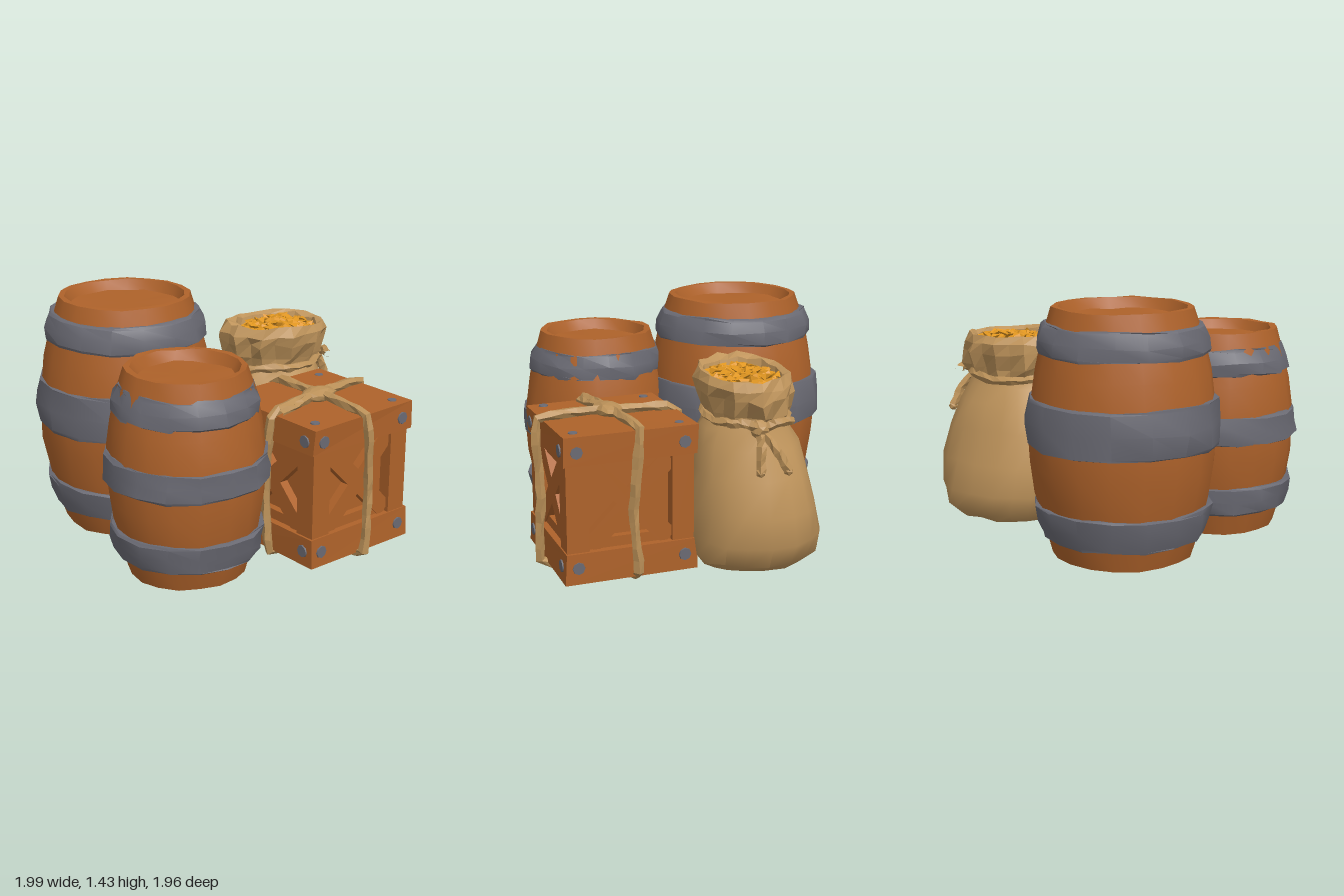
import * as THREE from 'three';
import { toCreasedNormals, mergeGeometries } from 'three/addons/utils/BufferGeometryUtils.js';

const mat = (name, color) => Object.assign(new THREE.MeshStandardMaterial({ color }), { name });
const V = (x, y, z) => new THREE.Vector3(x, y, z);

// repeatable value in -1..1 from a position
const hash = (x, y, z, k) => {
  const r = (v) => Math.round(v * 500) / 500;
  const s = Math.sin(r(x) * 127.1 + r(y) * 311.7 + r(z) * 74.7 + k * 19.19) * 43758.5453;
  return (s - Math.floor(s)) * 2 - 1;
};

// small hand-cut irregularity; coincident corners move together
function jitter(geo, amount) {
  const p = geo.attributes.position;
  for (let i = 0; i < p.count; i++) {
    const [x, y, z] = [p.getX(i), p.getY(i), p.getZ(i)];
    p.setXYZ(i, x + amount * hash(x, y, z, 1), y + amount * hash(x, y, z, 2), z + amount * hash(x, y, z, 3));
  }
  return geo;
}
const flat = (geo) => toCreasedNormals(geo, 0.01);

function add(parent, name, geo, material, x = 0, y = 0, z = 0) {
  const mesh = new THREE.Mesh(geo, material);
  mesh.name = name;
  mesh.position.set(x, y, z);
  parent.add(mesh);
  return mesh;
}

// skin over rings [y, rx, rz, cx, cz, squareness, pleat]
function loft(rings, segs) {
  const pos = [], idx = [];
  rings.forEach(([y, rx, rz, cx, cz, sq = 1, pleat = 0]) => {
    for (let j = 0; j < segs; j++) {
      const a = (j / segs) * Math.PI * 2, c = Math.cos(a), s = Math.sin(a);
      const k = 1 + pleat * (j % 2 ? -1 : 1) * (0.6 + 0.4 * Math.sin(j * 2.3));
      pos.push(cx + rx * k * Math.sign(c) * Math.abs(c) ** sq, y, cz + rz * k * Math.sign(s) * Math.abs(s) ** sq);
    }
  });
  for (let i = 0; i < rings.length - 1; i++) for (let j = 0; j < segs; j++) {
    const a = i * segs + j, b = i * segs + (j + 1) % segs;
    idx.push(a, a + segs, b, b, a + segs, b + segs);
  }
  const geo = new THREE.BufferGeometry();
  geo.setAttribute('position', new THREE.Float32BufferAttribute(pos, 3));
  geo.setIndex(idx);
  return geo;
}

const lathe = (pts, segs) => new THREE.LatheGeometry(pts.map(([r, y]) => new THREE.Vector2(r, y)), segs);

function rope(points, radius, closed, steps) {
  const curve = new THREE.CatmullRomCurve3(points, closed, 'catmullrom', 0.15);
  return flat(jitter(new THREE.TubeGeometry(curve, steps, radius, 5, closed), 0.006));
}

// barrel: staves with sunken ends and three iron bands [y0, y1, radius at y0, middle, y1]
function barrel(name, h, rEnd, rMid, bands, m) {
  const g = new THREE.Group();
  g.name = name;
  const side = [];
  for (let i = 0; i <= 8; i++) {
    const t = i / 8;
    side.push([rEnd + (rMid - rEnd) * (1 - Math.abs(2 * t - 1) ** 1.9), h * t]);
  }
  const rIn = rEnd - 0.035, rLid = rEnd - 0.07;
  const body = lathe([[0, 0.05], [rLid, 0.05], [rIn, 0], ...side, [rIn, h], [rLid, h - 0.06], [0, h - 0.06]], 18);
  add(g, 'staves', toCreasedNormals(jitter(body, 0.006), 0.6), m.wood);
  // planks across the underside
  for (let i = -1; i <= 1; i++) {
    const w = rLid * 0.45, len = 2 * Math.sqrt(rLid * rLid - (Math.abs(i) * w + w / 2) ** 2);
    add(g, 'bottomPlank', new THREE.BoxGeometry(w * 0.92, 0.02, len * 0.97), m.wood, i * w, 0.042, 0);
  }
  bands.forEach(([y0, y1, a, b, c], i) => {
    const d = 0.06, e = 0.012;
    const geo = lathe([[a - d, y0], [a - 0.01, y0], [a, y0 + e], [b, (y0 + y1) / 2], [c, y1 - e], [c - 0.01, y1], [c - d, y1]], 16);
    add(g, 'ironBand', toCreasedNormals(jitter(geo, 0.009), 0.55), m.iron).rotation.y = i * 0.4;
  });
  return g;
}

function crate(m) {
  const g = new THREE.Group();
  g.name = 'crate';
  const H = 0.39;
  const box = (w, h, d) => flat(jitter(new THREE.BoxGeometry(w, h, d), 0.008));
  add(g, 'innerPanels', new THREE.BoxGeometry(0.6, 0.7, 0.6), m.wood, 0, 0.46, 0);
  add(g, 'topSlab', box(2 * H, 0.165, 2 * H), m.wood, 0, 0.8, 0);
  add(g, 'bottomSlab', box(2 * H, 0.17, 2 * H), m.wood, 0, 0.12, 0);
  for (const x of [-1, 1]) for (const z of [-1, 1])
    add(g, 'cornerPost', new THREE.BoxGeometry(0.13, 0.54, 0.13), m.wood, x * 0.31, 0.46, z * 0.31);
  const bolt = new THREE.CylinderGeometry(0.036, 0.038, 0.008, 8);
  const topBolt = new THREE.CylinderGeometry(0.026, 0.028, 0.008, 8);
  // the four sides repeat
  for (let k = 0; k < 4; k++) {
    const s = new THREE.Group();
    s.name = 'crateSide';
    s.rotation.y = k * Math.PI / 2;
    for (const t of [-1, 1]) {
      add(s, 'crossBrace', new THREE.BoxGeometry(0.11, 0.67, 0.06), m.wood, 0, 0.465, 0.325).rotation.z = t * Math.PI / 4;
      add(s, 'innerTrim', new THREE.BoxGeometry(0.5, 0.07, 0.05), m.wood, 0, 0.465 + t * 0.23, 0.32);
      for (const y of [0.125, 0.795])
        add(s, 'bolt', bolt, m.iron, t * 0.315, y, H + 0.004).rotation.x = Math.PI / 2;
    }
    add(s, 'topBolt', topBolt, m.iron, 0.31, 0.886, 0.31);
    g.add(s);
  }
  // ropes wrapped both ways, with a knot on top
  const R = 0.402, lo = 0.032, hi = 0.893;
  const wrap = (f) => rope([f(-R, lo, 0.02), f(-R, 0.45, -0.015), f(-R, hi, 0.03), f(0, hi + 0.022, 0),
    f(R, hi, -0.02), f(R, 0.45, 0.02), f(R, lo, -0.01), f(0, lo, 0.02)], 0.029, true, 44);
  add(g, 'ropeSideways', wrap((u, y, w) => V(u, y, w - u * 0.06)), m.rope);
  add(g, 'ropeLengthways', wrap((u, y, w) => V(w * 0.8, y, u * 1.025 + 0.015)), m.rope);
  const knot = add(g, 'ropeKnot', flat(jitter(new THREE.IcosahedronGeometry(0.1, 1), 0.012)), m.rope, 0, 0.915, 0.01);
  knot.scale.set(1.2, 0.4, 0.8);
  add(g, 'ropeEnd', rope([V(0, 0.92, 0), V(-0.17, 0.905, 0.05), V(-0.36, 0.885, 0.075)], 0.026, false, 6), m.rope);
  return g;
}

function sack(m) {
  const g = new THREE.Group();
  g.name = 'sack';
  // bulging body, narrowing to the tied neck
  const body = loft([
    [0.05, 0.2, 0.2, 0.55, -0.27, 0.85], [0.05, 0.31, 0.31, 0.55, -0.27, 0.85], [0.1, 0.375, 0.375, 0.56, -0.27, 0.85],
    [0.22, 0.425, 0.39, 0.56, -0.27, 0.85], [0.4, 0.44, 0.365, 0.555, -0.26, 0.86], [0.6, 0.41, 0.33, 0.545, -0.25, 0.88],
    [0.76, 0.365, 0.29, 0.54, -0.24, 0.95], [0.85, 0.32, 0.25, 0.545, -0.23, 1, 0.02], [0.91, 0.29, 0.22, 0.55, -0.23, 1, 0.05],
  ], 20);
  add(g, 'sackBody', toCreasedNormals(jitter(body, 0.011), 0.75), m.cloth);
  // gathered mouth, rolled over at the rim and leaning to one side
  const mouth = loft([
    [0.9, 0.29, 0.22, 0.55, -0.23, 1, 0.05], [0.96, 0.32, 0.24, 0.55, -0.23, 1, 0.11], [1.05, 0.35, 0.265, 0.545, -0.225, 1, 0.07],
    [1.11, 0.355, 0.275, 0.54, -0.22, 1, 0.03], [1.165, 0.32, 0.255, 0.54, -0.215, 1, 0.02],
    [1.15, 0.275, 0.215, 0.55, -0.21, 1, 0.03], [1.05, 0.25, 0.2, 0.555, -0.21, 1],
  ], 22);
  mouth.translate(-0.55, -0.9, 0).rotateZ(-0.05).translate(0.55, 0.9, 0);
  add(g, 'sackMouth', flat(jitter(mouth, 0.014)), m.cloth);
  add(g, 'sackBase', new THREE.CylinderGeometry(0.24, 0.24, 0.008, 9), m.wood, 0.55, 0.047, -0.27);
  // heap of gold chips
  add(g, 'goldBed', new THREE.CylinderGeometry(0.16, 0.27, 0.06, 14), m.gold, 0.56, 1.095, -0.205).scale.z = 0.8;
  const chips = [], count = 85;
  for (let i = 0; i < count; i++) {
    const a = i * 2.39996, r = Math.sqrt((i + 0.5) / count);
    const chip = i % 3 ? new THREE.OctahedronGeometry(0.05) : new THREE.TetrahedronGeometry(0.05);
    chip.scale(1, 0.45, 0.85);
    chip.rotateX(0.6 * hash(i, 0, 0, 6)).rotateY(i * 2.9).rotateZ(0.6 * hash(i, 0, 0, 7));
    chip.translate(0.565 + Math.cos(a) * r * 0.25, 1.14 - r * r * 0.03 + 0.014 * hash(i, 0, 0, 5), -0.205 + Math.sin(a) * r * 0.205);
    chips.push(chip);
  }
  add(g, 'goldChips', mergeGeometries(chips), m.gold);
  // cord round the neck with a bow on the left side
  const ring = [];
  for (let i = 0; i < 12; i++) {
    const a = i * Math.PI / 6;
    ring.push(V(0.55 + 0.305 * Math.cos(a), 0.905 + 0.012 * Math.sin(i * 2), -0.23 + 0.235 * Math.sin(a)));
  }
  add(g, 'neckCord', rope(ring, 0.027, true, 30), m.rope);
  add(g, 'cordKnot', flat(jitter(new THREE.IcosahedronGeometry(0.052, 1), 0.008)), m.rope, 0.88, 0.89, -0.22);
  const ends = [
    [V(0.88, 0.89, -0.22), V(0.94, 0.8, -0.21), V(0.965, 0.66, -0.2)],
    [V(0.88, 0.89, -0.22), V(0.95, 0.79, -0.29), V(0.965, 0.67, -0.36)],
    [V(0.88, 0.89, -0.22), V(0.9, 0.93, -0.14), V(0.85, 0.93, -0.04)],
    [V(0.88, 0.89, -0.22), V(0.91, 0.93, -0.31), V(0.86, 0.92, -0.41)],
  ];
  ends.forEach((p) => add(g, 'cordEnd', rope(p, 0.027, false, 7), m.rope));
  // close the open tips of the two hanging ends
  for (const z of [-0.2, -0.36])
    add(g, 'cordTip', flat(new THREE.IcosahedronGeometry(0.029, 0)), m.rope, 0.965, 0.665, z);
  return g;
}

export function createModel() {
  const m = {
    wood: mat('wood', 0xae622a), iron: mat('iron', 0x6a6a73), cloth: mat('cloth', 0xc0955c),
    rope: mat('rope', 0xba9058), gold: mat('gold', 0xdf9520),
  };
  const model = new THREE.Group();
  model.name = 'barrelsCrateAndSack';

  const large = barrel('largeBarrel', 1.42, 0.4, 0.535,
    [[0.12, 0.31, 0.465, 0.495, 0.515], [0.65, 0.92, 0.55, 0.56, 0.54], [1.17, 1.33, 0.495, 0.49, 0.46]], m);
  large.position.set(-0.405, 0, -0.435);
  large.rotation.y = 0.5;

  const small = barrel('smallBarrel', 1.21, 0.345, 0.455,
    [[0.13, 0.3, 0.425, 0.44, 0.45], [0.565, 0.735, 0.475, 0.475, 0.465], [0.965, 1.12, 0.42, 0.415, 0.385]], m);
  small.position.set(-0.51, 0, 0.43);

  const box = crate(m);
  box.position.set(0.345, 0, 0.515);
  box.rotation.y = 0.11;

  model.add(large, small, box, sack(m));
  return model;
}
